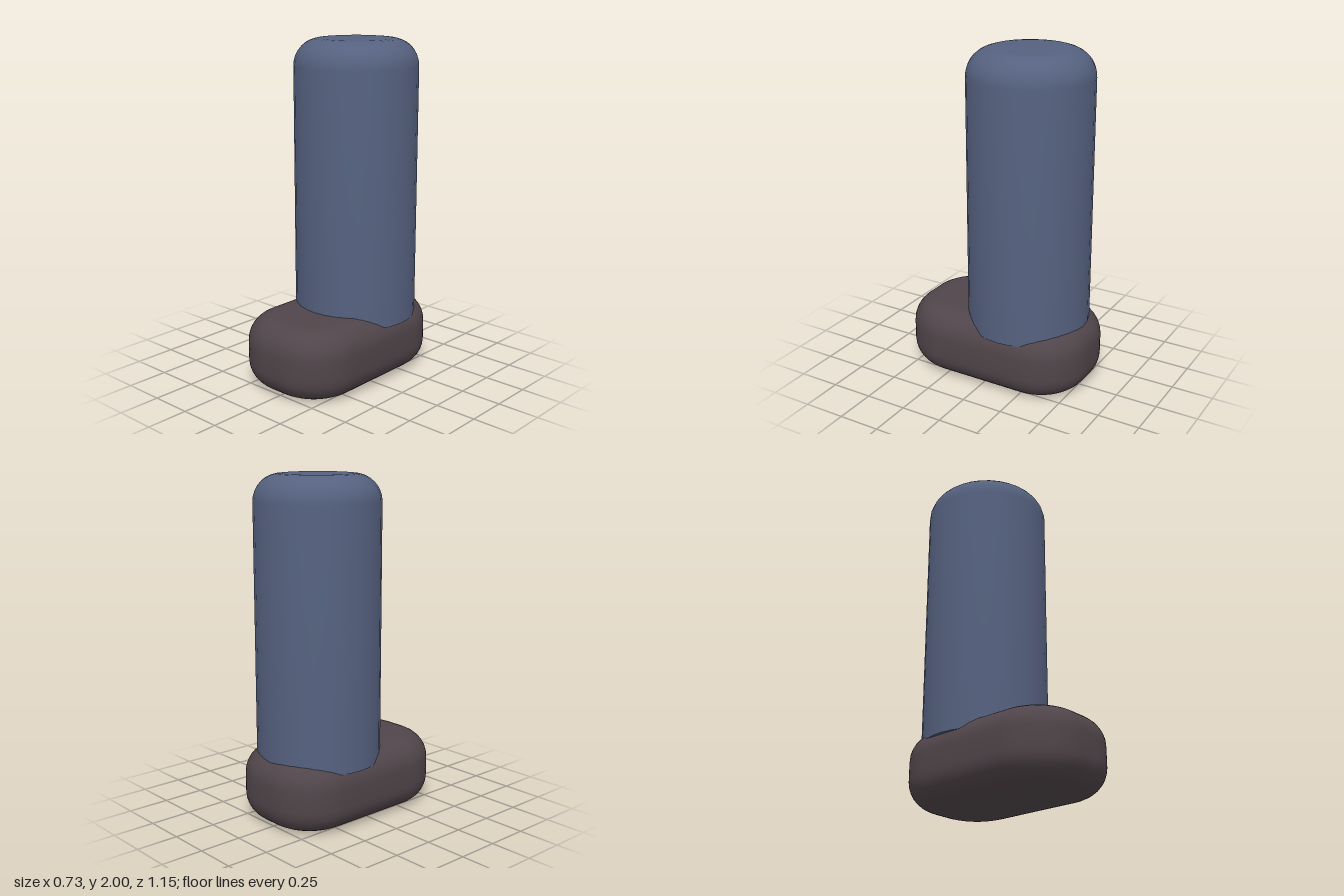
import * as THREE from 'three';
import { toCreasedNormals } from 'three/addons/utils/BufferGeometryUtils.js';

const trouserBlue = new THREE.MeshStandardMaterial({ name: 'trouserBlue', color: 0x55617f });
const bootBrown = new THREE.MeshStandardMaterial({ name: 'bootBrown', color: 0x50454a });

function part(name, geometry, material) {
  const mesh = new THREE.Mesh(toCreasedNormals(geometry, 0.7), material);
  mesh.name = name;
  return mesh;
}

// Rectangle with rounded corners, centred on the origin
function roundedRect(hx, hy, r) {
  const s = new THREE.Shape();
  s.absarc(hx - r, hy - r, r, 0, Math.PI / 2);
  s.absarc(-hx + r, hy - r, r, Math.PI / 2, Math.PI);
  s.absarc(-hx + r, -hy + r, r, Math.PI, Math.PI * 1.5);
  s.absarc(hx - r, -hy + r, r, Math.PI * 1.5, Math.PI * 2);
  s.closePath();
  return s;
}

export function createModel() {
  const group = new THREE.Group();
  group.name = 'leg';

  // Boot: rounded plan, extruded upward with a soft bevel all round
  const bevel = 0.155, height = 0.425;
  const bootGeometry = new THREE.ExtrudeGeometry(roundedRect(0.363 - bevel, 0.577 - bevel, 0.155), {
    depth: height - 2 * bevel,
    bevelSize: bevel,
    bevelThickness: bevel,
    bevelSegments: 8,
    curveSegments: 6,
  });
  bootGeometry.rotateX(-Math.PI / 2).translate(0, bevel, 0);
  group.add(part('boot', bootGeometry, bootBrown));

  // Trouser leg: upright cylinder with a rounded top rim and flat hem
  const radius = 0.363, rim = 0.155, top = 2;
  const profile = [new THREE.Vector2(0, 0.35), new THREE.Vector2(radius, 0.35)];
  for (let i = 0; i <= 8; i++) {
    const a = (i / 8) * Math.PI / 2;
    profile.push(new THREE.Vector2(radius - rim + rim * Math.cos(a), top - rim + rim * Math.sin(a)));
  }
  profile.push(new THREE.Vector2(0, top));
  const trouser = part('trouserLeg', new THREE.LatheGeometry(profile, 32), trouserBlue);
  trouser.position.z = -0.155;
  group.add(trouser);

  return group;
}
